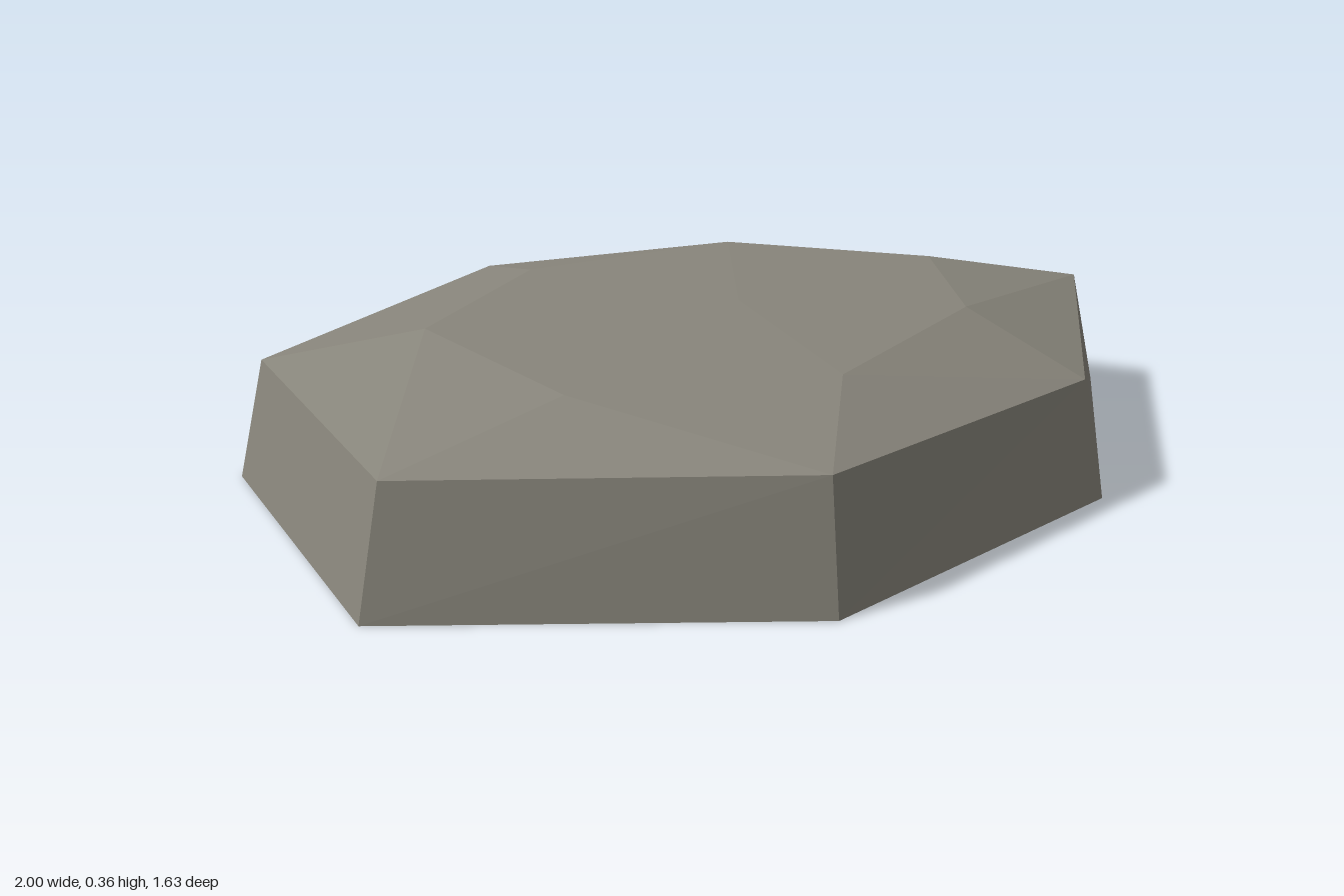
import * as THREE from 'three';

// Rings run counter-clockwise seen from above, as [x, y, z]
const base = [[1, 0, 0], [0.54, 0, -0.61], [-0.24, 0, -0.82], [-0.97, 0, -0.4],
  [-1, 0, 0.4], [-0.24, 0, 0.81], [0.54, 0, 0.6]];
const rim = [[0.93, 0.27, 0], [0.505, 0.255, -0.575], [-0.23, 0.264, -0.77], [-0.915, 0.26, -0.375],
  [-0.94, 0.26, 0.375], [-0.23, 0.266, 0.765], [0.505, 0.256, 0.565]];
const crown = [[0.58, 0.34, -0.1], [0.23, 0.345, -0.42], [-0.26, 0.338, -0.46], [-0.64, 0.35, -0.14],
  [-0.55, 0.338, 0.33], [-0.04, 0.342, 0.5], [0.41, 0.348, 0.28]];
const peak = [0, 0.358, 0.03];

function facets(name, triangles, material) {
  const geometry = new THREE.BufferGeometry();
  geometry.setAttribute('position', new THREE.Float32BufferAttribute(triangles.flat(2), 3));
  geometry.computeVertexNormals(); // unshared corners give flat facets
  const mesh = new THREE.Mesh(geometry, material);
  mesh.name = name;
  return mesh;
}

export function createModel() {
  const stone = new THREE.MeshStandardMaterial({ color: 0x88857b });
  stone.name = 'grey stone';
  stone.side = THREE.DoubleSide; // the slab is a shell, open underneath
  stone.flatShading = true;

  const sides = [], top = [];
  const n = base.length;
  for (let i = 0; i < n; i++) {
    const j = (i + 1) % n;
    const before = (i + n - 1) % n;
    // Sloping side wall
    sides.push([base[i], base[j], rim[j]], [base[i], rim[j], rim[i]]);
    // Bevel facets, with crown corners staggered between rim corners
    top.push([rim[i], rim[j], crown[i]], [rim[i], crown[i], crown[before]]);
    // Shallow fan to the peak
    top.push([crown[i], crown[j], peak]);
  }

  const group = new THREE.Group();
  group.name = 'stoneSlab';
  group.add(facets('sideWalls', sides, stone), facets('facetedTop', top, stone));
  return group;
}
